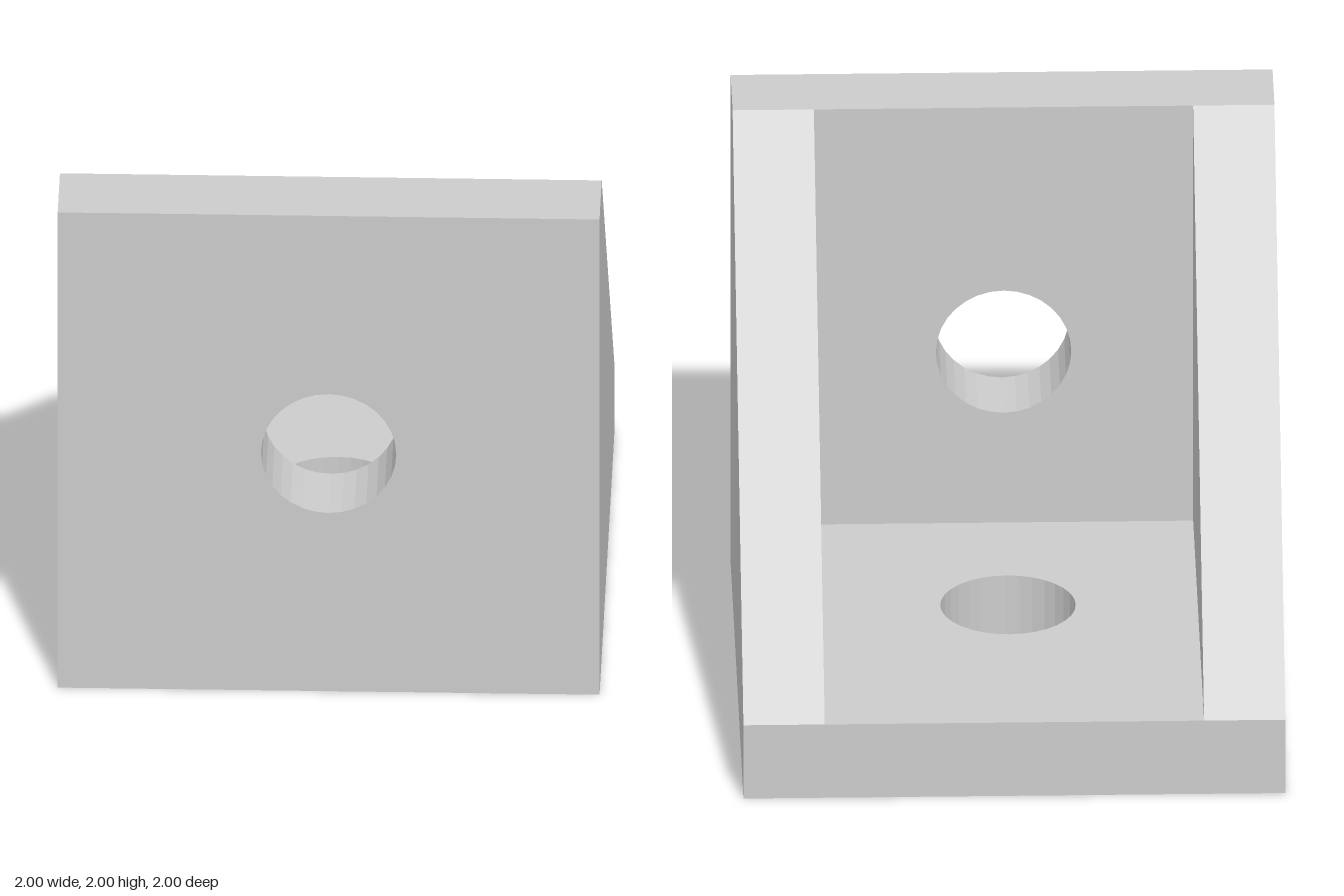
import * as THREE from 'three';

const T = 0.3; // wall thickness
const HOLE_RADIUS = 0.25;

const material = new THREE.MeshStandardMaterial({ color: 0xcccccc, flatShading: true });

// Flat outline, optionally drilled at a point, extruded to the wall thickness
function slab(points, hole) {
  const shape = new THREE.Shape(points.map(([x, y]) => new THREE.Vector2(x, y)));
  if (hole) {
    const path = new THREE.Path();
    path.absarc(hole[0], hole[1], HOLE_RADIUS, 0, Math.PI * 2, true);
    shape.holes.push(path);
  }
  return new THREE.ExtrudeGeometry(shape, { depth: T, bevelEnabled: false, curveSegments: 16 });
}

export function createModel() {
  const model = new THREE.Group();
  model.name = 'cornerBracket';

  const add = (name, geometry) => {
    const mesh = new THREE.Mesh(geometry, material);
    mesh.name = name;
    model.add(mesh);
  };

  // Upright plate at the front, with a through hole
  add('frontPlate', slab([[-1, 0], [1, 0], [1, 2], [-1, 2]], [0, 1]).translate(0, 0, 1 - T));

  // Base plate behind it, drilled vertically
  add('basePlate', slab([[-1, T - 1], [1, T - 1], [1, 1], [-1, 1]], [0, 0]).rotateX(-Math.PI / 2));

  // Triangular side gussets, outline given as (z, y)
  for (const [name, outerX] of [['leftGusset', 1], ['rightGusset', T - 1]]) {
    const gusset = slab([[-1, T], [1 - T, T], [1 - T, 2]]);
    add(name, gusset.rotateY(-Math.PI / 2).translate(outerX, 0, 0));
  }

  return model;
}
